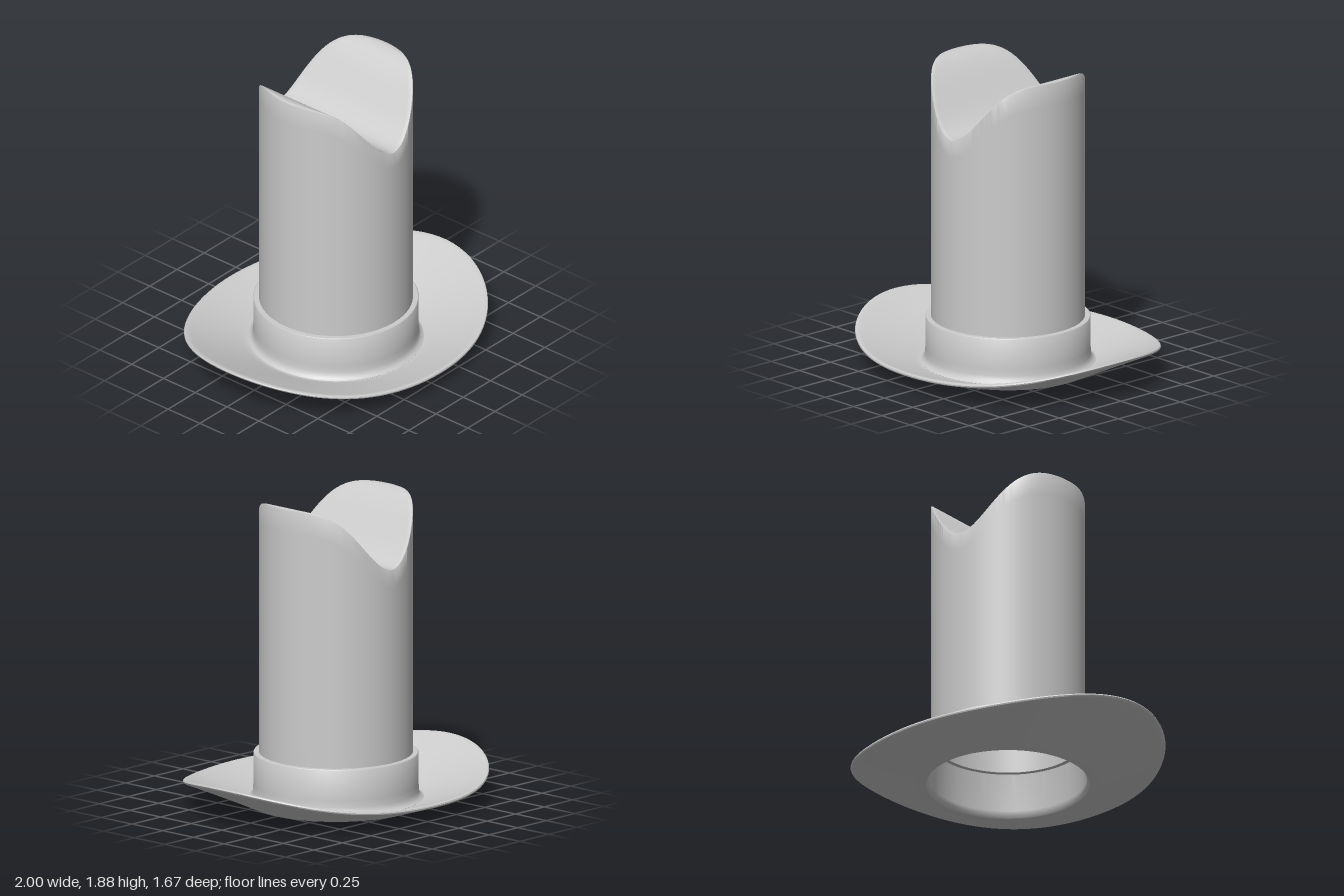
import * as THREE from 'three';
import { mergeVertices, toCreasedNormals } from 'three/addons/utils/BufferGeometryUtils.js';

const material = new THREE.MeshStandardMaterial({ color: 0xcccccc });
const SEGMENTS = 128;

// Revolve a profile, then move every vertex by a rule.
function turned(name, profile, rule, crease = 0.6) {
  const points = profile.map(([r, y]) => new THREE.Vector2(r, y));
  let geo = new THREE.LatheGeometry(points, SEGMENTS);
  geo.deleteAttribute('uv');
  geo.deleteAttribute('normal');
  if (rule) {
    const pos = geo.attributes.position;
    const v = new THREE.Vector3();
    for (let i = 0; i < pos.count; i++) {
      rule(v.fromBufferAttribute(pos, i));
      pos.setXYZ(i, v.x, v.y, v.z);
    }
  }
  geo = toCreasedNormals(mergeVertices(geo, 1e-5), crease);
  const mesh = new THREE.Mesh(geo, material);
  mesh.name = name;
  return mesh;
}

// Points from a to b, without the last one.
function steps(a, b, n) {
  return Array.from({ length: n }, (_, i) => [
    a[0] + (b[0] - a[0]) * i / n,
    a[1] + (b[1] - a[1]) * i / n,
  ]);
}

// Tall crown: a hollow cylinder whose top dips in a valley running front to back.
function createCrown() {
  const base = 0.29;
  const valley = x => 1.69 - 0.19 * Math.cos(Math.PI * Math.min(1, Math.abs(x) / 0.45));
  // Profile height runs from 0 at the base to 1 at the valley surface.
  const profile = [
    ...steps([0, 0.98], [0.44, 0.98], 20),
    ...steps([0.44, 0.98], [0.44, 0], 10),
    ...steps([0.44, 0], [0.46, 0], 1),
    ...steps([0.46, 0], [0.46, 0.993], 12),
    [0.46, 0.993], [0.457, 0.998],
    ...steps([0.45, 1], [0, 1], 24),
    [0, 1],
  ];
  return turned('crown', profile, v => {
    v.y = base + v.y * (valley(v.x) - base);
  }, 0.7);
}

// Band around the foot of the crown, flared where it meets the brim.
function createBand() {
  return turned('band', [
    [0.44, 0.29], [0.468, 0.29], [0.47, 0.28], [0.47, 0.05], [0.475, 0.025], [0.487, 0.008],
    [0.51, 0.003], [0.525, 0.035], [0.51, 0.044], [0.5, 0.058], [0.495, 0.08],
    [0.494, 0.12], [0.494, 0.306], [0.49, 0.312], [0.455, 0.312],
  ]);
}

// Brim: round at the band, oval at the edge, and lifted at both sides.
function createBrim() {
  const inner = 0.52;
  const profile = [
    [0.485, 0.03], [0.487, 0.008], [0.5, 0.001],
    ...steps([inner, 0], [0.985, 0.1], 16),
    [0.985, 0.1], [0.996, 0.105], [1, 0.113], [0.996, 0.121], [0.985, 0.124],
    ...steps([0.97, 0.123], [0.56, 0.038], 16),
    [0.56, 0.038], [0.53, 0.034], [0.49, 0.034],
  ];
  return turned('brim', profile, v => {
    const r = Math.hypot(v.x, v.z);
    const s = Math.max(0, (r - inner) / (1 - inner));
    const side = Math.abs(v.x) / r;
    v.y += 0.131 * s * side ** 3;
    v.z *= (Math.min(r, inner) + 0.315 * s) / r;
  });
}

export function createModel() {
  const hat = new THREE.Group();
  hat.name = 'hat';
  hat.add(createCrown(), createBand(), createBrim());
  return hat;
}
